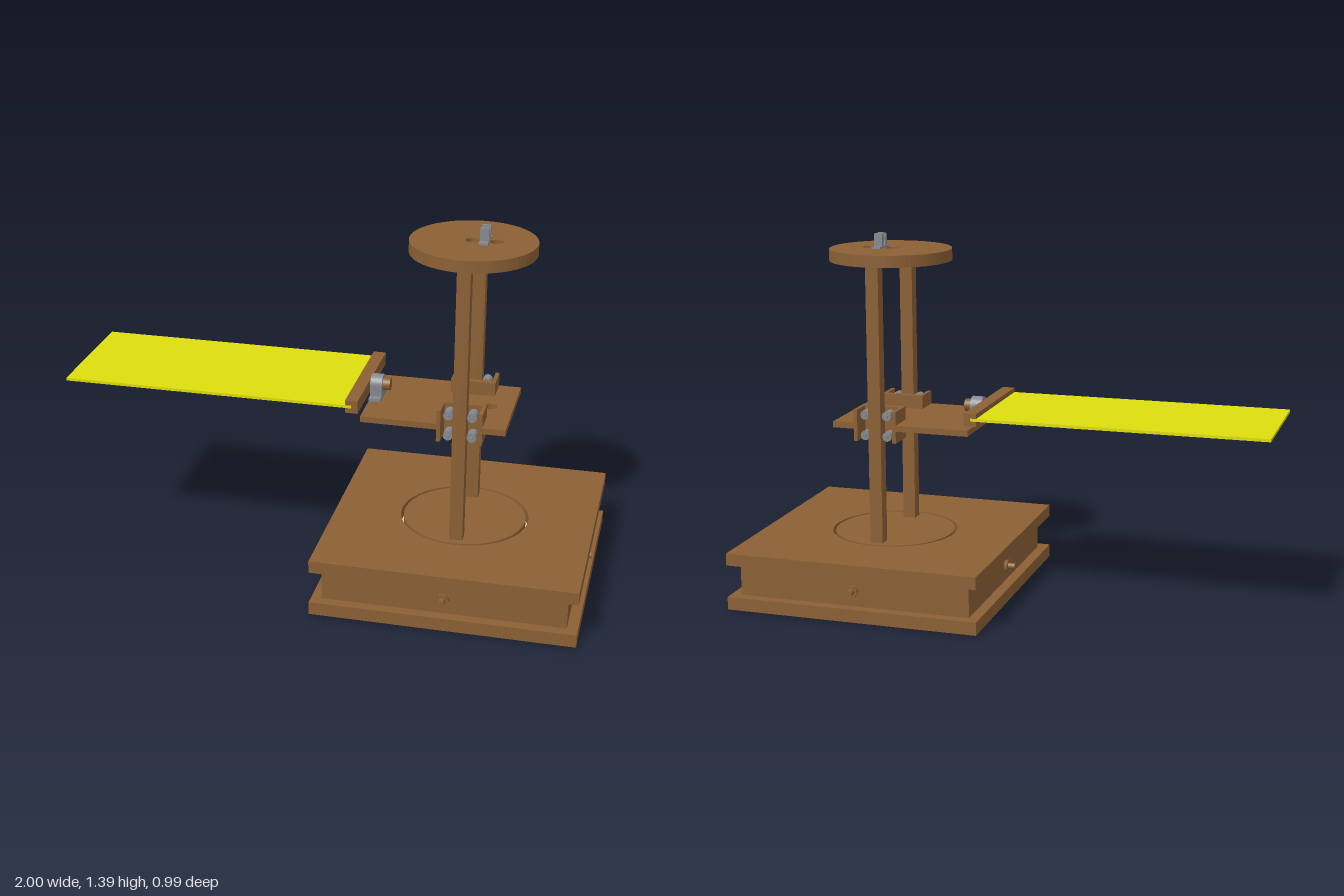
import * as THREE from 'three';

const mat = (color) => new THREE.MeshStandardMaterial({ color, side: THREE.DoubleSide });
const CX = 0.505; // axis of the base and turntable

export function createModel() {
  const model = new THREE.Group();
  const wood = mat(0x8b5f35), metal = mat(0x85888c), yellow = mat(0xdddd0c);

  const add = (name, geometry, material, parent = model) => {
    const mesh = new THREE.Mesh(geometry, material);
    mesh.name = name;
    parent.add(mesh);
    return mesh;
  };
  // Box given by its lower and upper limits on each axis
  const box = (name, x0, x1, y0, y1, z0, z1, material = wood, parent = model) => {
    const mesh = add(name, new THREE.BoxGeometry(x1 - x0, y1 - y0, z1 - z0), material, parent);
    mesh.position.set((x0 + x1) / 2, (y0 + y1) / 2, (z0 + z1) / 2);
    return mesh;
  };
  // Horizontal slab from an outline drawn in x and z
  const slab = (name, shape, y0, y1, material = wood) => {
    const geometry = new THREE.ExtrudeGeometry(shape, { depth: y1 - y0, bevelEnabled: false, curveSegments: 32 });
    geometry.rotateX(-Math.PI / 2);
    const mesh = add(name, geometry, material);
    mesh.position.y = y0;
    return mesh;
  };
  const circle = (x, r, Kind = THREE.Path) => {
    const path = new Kind();
    path.absarc(x, 0, r, 0, Math.PI * 2, false);
    return path;
  };
  const outline = (points) => new THREE.Shape(points.map(([x, z]) => new THREE.Vector2(x, z)));

  // Base: two square plates with recessed walls between them
  box('bottomPlate', 0.01, 1, 0, 0.05, -0.495, 0.495);
  const top = outline([[0.01, -0.495], [1, -0.495], [1, 0.495], [0.01, 0.495]]);
  top.holes.push(circle(CX, 0.245));
  slab('topPlate', top, 0.175, 0.222);
  for (const s of [-1, 1]) {
    box('sideWall', CX + s * 0.435 - 0.02, CX + s * 0.435 + 0.02, 0.05, 0.175, -0.455, 0.455);
    box('endWall', 0.05, 0.96, 0.05, 0.175, s * 0.435 - 0.02, s * 0.435 + 0.02);
  }

  // One bolt with a hexagonal nut on each wall
  for (let i = 0; i < 4; i++) {
    const bolt = new THREE.Group();
    bolt.name = 'wallBolt';
    const nut = add('nut', new THREE.CylinderGeometry(0.024, 0.024, 0.014, 6), wood, bolt);
    nut.rotation.set(Math.PI / 2, Math.PI / 6, 0);
    nut.position.z = 0.461;
    const shank = add('shank', new THREE.CylinderGeometry(0.012, 0.012, 0.05, 20), wood, bolt);
    shank.rotation.x = Math.PI / 2;
    shank.position.z = 0.47;
    bolt.position.set(CX, 0.11, 0);
    bolt.rotation.y = i * Math.PI / 2;
    model.add(bolt);
  }

  // Turntable on a metal ring, two posts and the top disc
  slab('turntable', circle(CX, 0.234, THREE.Shape), 0.175, 0.222);
  const ring = circle(CX, 0.26, THREE.Shape);
  ring.holes.push(circle(CX, 0.2));
  slab('bearingRing', ring, 0.155, 0.174, mat(0xcccccc));
  for (const s of [-1, 1]) box('post', 0.48, 0.53, 0.222, 1.29, s * 0.181 - 0.024, s * 0.181 + 0.024);
  const disc = circle(CX, 0.234, THREE.Shape);
  disc.holes.push(circle(0.5, 0.025), circle(0.59, 0.025));
  slab('topDisc', disc, 1.29, 1.335);

  // Small cable guide on the top disc
  const guide = new THREE.Group();
  guide.name = 'cableGuide';
  model.add(guide);
  box('guideFoot', 0.53, 0.563, 1.335, 1.342, -0.05, 0.05, metal, guide);
  for (const s of [-1, 1]) box('guideCheek', 0.53, 0.563, 1.342, 1.39, s * 0.018 - 0.007, s * 0.018 + 0.007, metal, guide);
  box('guideBridge', 0.537, 0.556, 1.354, 1.373, -0.015, 0.015, metal, guide);

  // Sliding platform, notched around the posts
  const half = [[0.675, 0.203], [0.575, 0.203], [0.575, 0.12], [0.435, 0.12], [0.435, 0.203], [0.135, 0.203]];
  const platform = outline([...half, ...half.map(([x, z]) => [x, -z]).reverse()]);
  platform.holes.push(circle(0.505, 0.025), circle(0.588, 0.025));
  slab('platform', platform, 0.667, 0.69);

  // Channel-shaped carriages with rollers gripping each post
  for (const s of [-1, 1]) {
    const carriage = new THREE.Group();
    carriage.name = 'carriage';
    box('carriageBack', 0.42, 0.59, 0.62, 0.742, 0.095, 0.12, wood, carriage);
    for (const t of [-1, 1]) {
      const x = CX + t * 0.0775;
      box('carriageCheek', x - 0.0075, x + 0.0075, 0.62, 0.742, 0.12, 0.203, wood, carriage);
      for (const y of [0.64, 0.72]) {
        const roller = add('roller', new THREE.CylinderGeometry(0.018, 0.018, 0.045, 24), metal, carriage);
        roller.rotation.x = Math.PI / 2;
        roller.position.set(CX + t * 0.044, y, 0.168);
        const axle = add('axle', new THREE.CylinderGeometry(0.007, 0.007, 0.085, 12), metal, carriage);
        axle.rotation.x = Math.PI / 2;
        axle.position.set(CX + t * 0.044, y, 0.158);
      }
    }
    if (s < 0) carriage.rotation.y = Math.PI;
    if (s < 0) carriage.position.x = 2 * CX;
    model.add(carriage);
  }

  // Pillow block: foot and arched housing bored for the shaft
  box('bearingFoot', 0.135, 0.18, 0.69, 0.702, -0.062, 0.062, metal);
  const arch = new THREE.Shape();
  arch.moveTo(-0.036, 0.7);
  arch.lineTo(0.036, 0.7);
  arch.absarc(0, 0.742, 0.036, 0, Math.PI, false);
  const bore = new THREE.Path();
  bore.absarc(0, 0.742, 0.024, 0, Math.PI * 2, false);
  arch.holes.push(bore);
  const housing = add('bearingHousing', new THREE.ExtrudeGeometry(arch, { depth: 0.045, bevelEnabled: false, curveSegments: 24 }), metal);
  housing.rotation.y = Math.PI / 2;
  housing.position.x = 0.135;

  // Shaft, clamp bar and thin blade
  const shaft = add('shaft', new THREE.CylinderGeometry(0.024, 0.024, 0.085, 32), wood);
  shaft.rotation.z = Math.PI / 2;
  shaft.position.set(0.165, 0.742, 0);
  box('clampBar', 0.087, 0.135, 0.718, 0.766, -0.245, 0.245);
  box('blade', -1, 0.11, 0.737, 0.748, -0.2455, 0.2455, yellow);

  return model;
}
